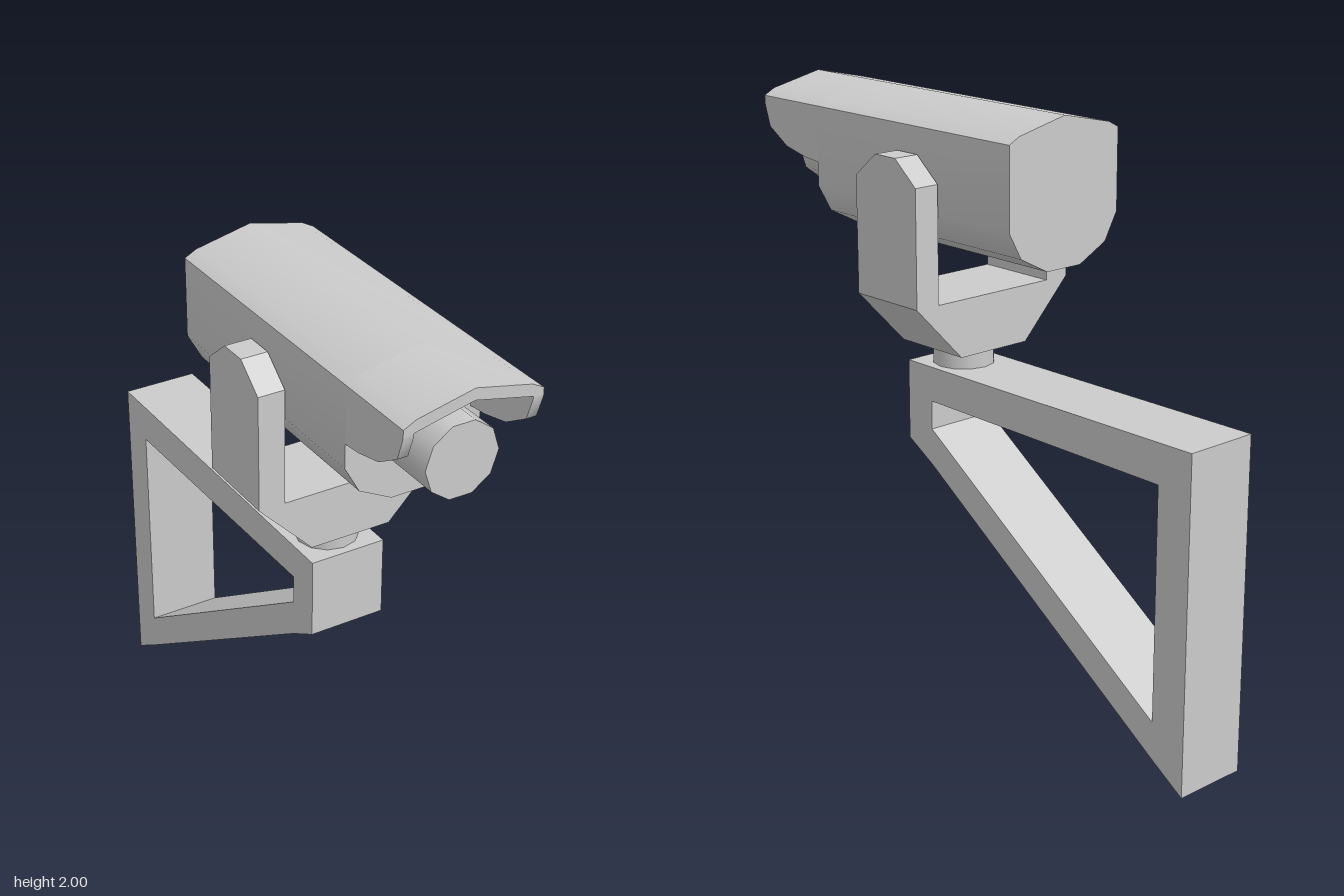
import * as THREE from 'three';
import { toCreasedNormals } from 'three/addons/utils/BufferGeometryUtils.js';

const material = new THREE.MeshStandardMaterial({ color: 0xcccccc });

function add(parent, name, geometry) {
  const mesh = new THREE.Mesh(geometry, material);
  mesh.name = name;
  parent.add(mesh);
  return mesh;
}

const toPoints = (list) => list.map(([a, b]) => new THREE.Vector2(a, b));

// Outline and hole wind in opposite directions
function extrude(outline, depth, hole) {
  const shape = new THREE.Shape(toPoints(outline));
  if (hole) shape.holes.push(new THREE.Path(toPoints(hole)));
  return toCreasedNormals(new THREE.ExtrudeGeometry(shape, { depth, bevelEnabled: false }), 0.75);
}

// (x, y) outline running from z0 to z1
function alongZ(outline, z0, z1) {
  return extrude(outline, z1 - z0).translate(0, 0, z0);
}

// (z, y) outline running from x0 to x1
function alongX(outline, x0, x1, hole) {
  return extrude(outline, x1 - x0, hole).rotateY(-Math.PI / 2).translate(x1, 0, 0);
}

// Right half of an outline, mirrored to a closed symmetric one
function mirrored(half) {
  return [...half, ...half.filter(([x]) => x !== 0).reverse().map(([x, y]) => [-x, y])];
}

export function createModel() {
  const model = new THREE.Group();
  model.name = 'securityCamera';

  // Triangular wall bracket with an open middle
  const bracket = add(model, 'wallBracket', alongX(
    [[0.325, 1.12], [0.325, 0.848], [0.21, 0.78], [-0.815, 0.085], [-0.945, 0], [-0.945, 1.12]],
    -0.13, 0.13,
    [[0.21, 1.002], [-0.815, 0.988], [-0.815, 0.21], [0.21, 0.905]]
  ));
  bracket.geometry = toCreasedNormals(bracket.geometry, 0.1);

  // Swivel neck between bracket and yoke
  add(model, 'swivelNeck', new THREE.CylinderGeometry(0.103, 0.103, 0.07, 12).translate(0, 1.155, 0.195));

  // Yoke: tapered base and two arms with chamfered tops
  const yoke = new THREE.Group();
  yoke.name = 'yoke';
  model.add(yoke);
  add(yoke, 'yokeBase', alongZ(mirrored([[0.14, 1.19], [0.325, 1.382]]), 0.047, 0.338));
  const armOutline = [
    [0.047, 1.382], [0.338, 1.382], [0.338, 1.77], [0.24, 1.85], [0.143, 1.85], [0.047, 1.77],
  ];
  const armGeometry = (x0, x1) => toCreasedNormals(alongX(armOutline, x0, x1), 0.1);
  add(yoke, 'leftYokeArm', armGeometry(0.235, 0.325));
  add(yoke, 'rightYokeArm', armGeometry(-0.325, -0.235));

  // Camera housing with a ridged top and rounded underside
  add(model, 'housing', alongZ(
    mirrored([[0.07, 1.523], [0.18, 1.58], [0.23, 1.67], [0.23, 1.937], [0.19, 1.958], [0, 2]]),
    -0.275, 0.66
  ));

  // Sun hood: thin roof plus curved side cheeks
  const hood = new THREE.Group();
  hood.name = 'sunHood';
  model.add(hood);
  const roof = [[0.23, 1.918], [0.23, 1.937], [0.19, 1.958], [0, 2]];
  const underside = [[-0.195, 1.918], [0, 1.962], [0.195, 1.918]];
  add(hood, 'hoodRoof', alongZ([...mirrored(roof), ...underside], 0.66, 0.945));
  const cheek = [
    [0.66, 1.75], [0.73, 1.757], [0.83, 1.78], [0.92, 1.835], [0.945, 1.91], [0.945, 1.918], [0.66, 1.918],
  ];
  add(hood, 'leftCheek', alongX(cheek, 0.195, 0.23));
  add(hood, 'rightCheek', alongX(cheek, -0.23, -0.195));

  // Ten-sided lens barrel
  add(model, 'lens', new THREE.CylinderGeometry(0.123, 0.123, 0.26, 10, 1, false, Math.PI / 2)
    .rotateX(Math.PI / 2).translate(0, 1.752, 0.77));

  return model;
}
